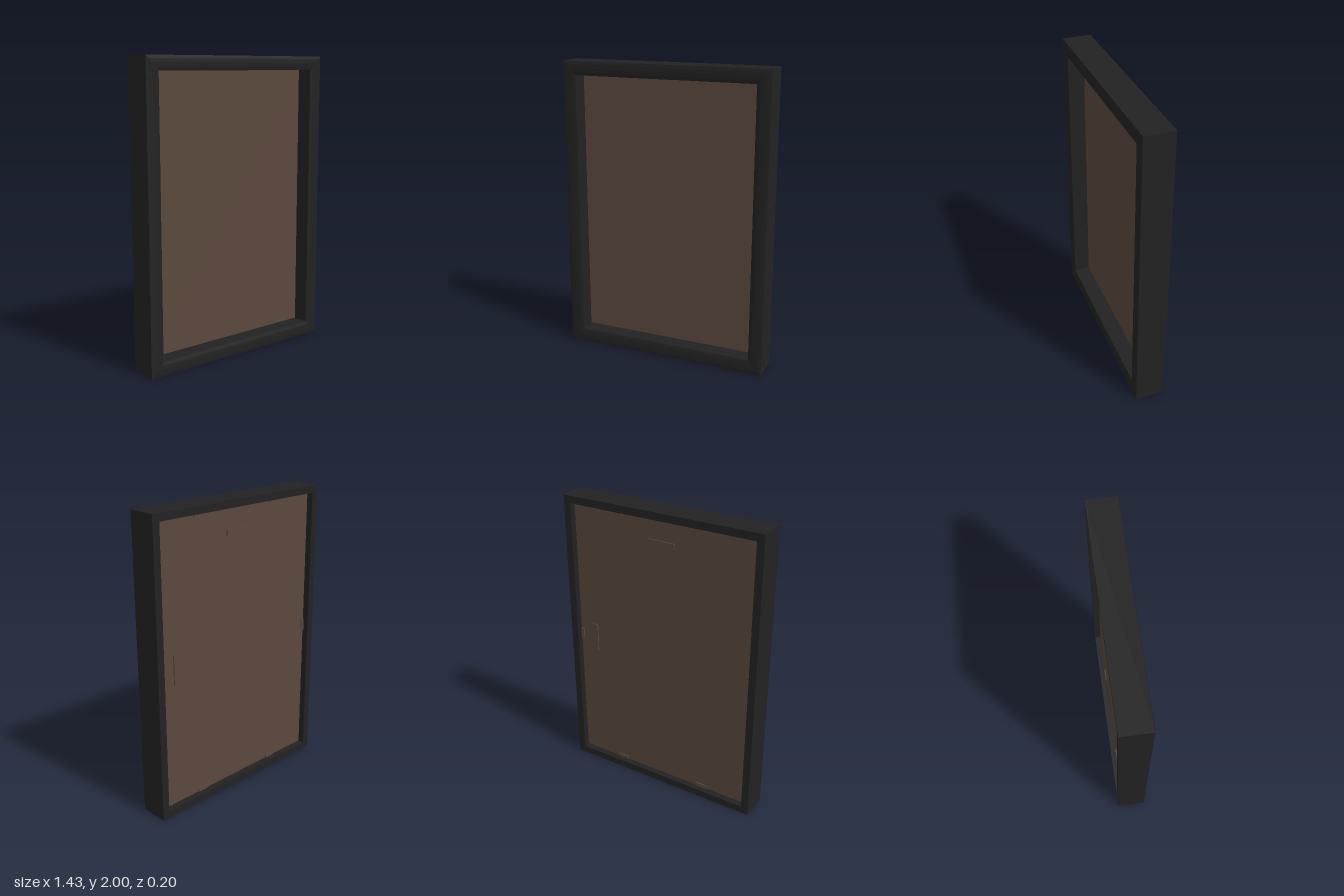
import * as THREE from 'three';

const HALF_W = 0.715;
const REBATE = 0.05;      // inset of the back recess
const PANEL_BACK = -0.055;

// Moulding cross-section: [inset from the outer edge, z]
const PROFILE = [
  [0, -0.1], [0, 0.095], [0.02, 0.099], [0.045, 0.1], [0.07, 0.098],
  [0.092, 0.092], [0.092, -0.02], [REBATE, -0.02], [REBATE, -0.1],
];
const CORNERS = [[1, -1], [1, 1], [-1, 1], [-1, -1]];

// One mitred bar running from corner i to the next corner
function barGeometry(i) {
  const point = ([sx, sy], [t, z]) => [sx * (HALF_W - t), 1 + sy * (1 - t), z];
  const from = CORNERS[i], to = CORNERS[(i + 1) % 4];
  const positions = [];
  PROFILE.forEach((p, j) => {
    const q = PROFILE[(j + 1) % PROFILE.length];
    const a = point(from, p), b = point(from, q), c = point(to, q), d = point(to, p);
    positions.push(...a, ...d, ...c, ...a, ...c, ...b);
  });
  const geometry = new THREE.BufferGeometry();
  geometry.setAttribute('position', new THREE.Float32BufferAttribute(positions, 3));
  geometry.computeVertexNormals();
  return geometry;
}

export function createModel() {
  const group = new THREE.Group();
  group.name = 'pictureFrame';

  const black = new THREE.MeshStandardMaterial({ color: 0x222222 });
  black.name = 'blackFrame';
  const brown = new THREE.MeshStandardMaterial({ color: 0x5a483d });
  brown.name = 'brownBoard';

  function box(name, w, h, d, x, y, z) {
    const mesh = new THREE.Mesh(new THREE.BoxGeometry(w, h, d), brown);
    mesh.name = name;
    mesh.position.set(x, y, z);
    group.add(mesh);
  }

  // Four mitred bars
  ['leftBar', 'topBar', 'rightBar', 'bottomBar'].forEach((name, i) => {
    const bar = new THREE.Mesh(barGeometry(i), black);
    bar.name = name;
    group.add(bar);
  });

  // Board held in the rebate
  const innerX = HALF_W - REBATE, innerY = 1 - REBATE;
  box('board', innerX * 2, innerY * 2, 0.035, 0, 1, PANEL_BACK + 0.0175);

  // Hanger plates on the back, one for each hanging direction
  const plateZ = PANEL_BACK - 0.004;
  box('topHanger', 0.2, 0.037, 0.008, 0, 1.79, plateZ);
  box('sideHanger', 0.037, 0.2, 0.008, 0.538, 1, plateZ);

  // Retaining tabs around the rebate
  const tab = 0.024;
  for (const s of [-1, 1]) {
    box('sideTab', tab, 0.08, 0.008, s * (innerX - tab / 2), 1, plateZ);
    for (const x of [-0.33, 0.33]) {
      box('edgeTab', 0.08, tab, 0.008, x, 1 + s * (innerY - tab / 2), plateZ);
    }
  }

  return group;
}
